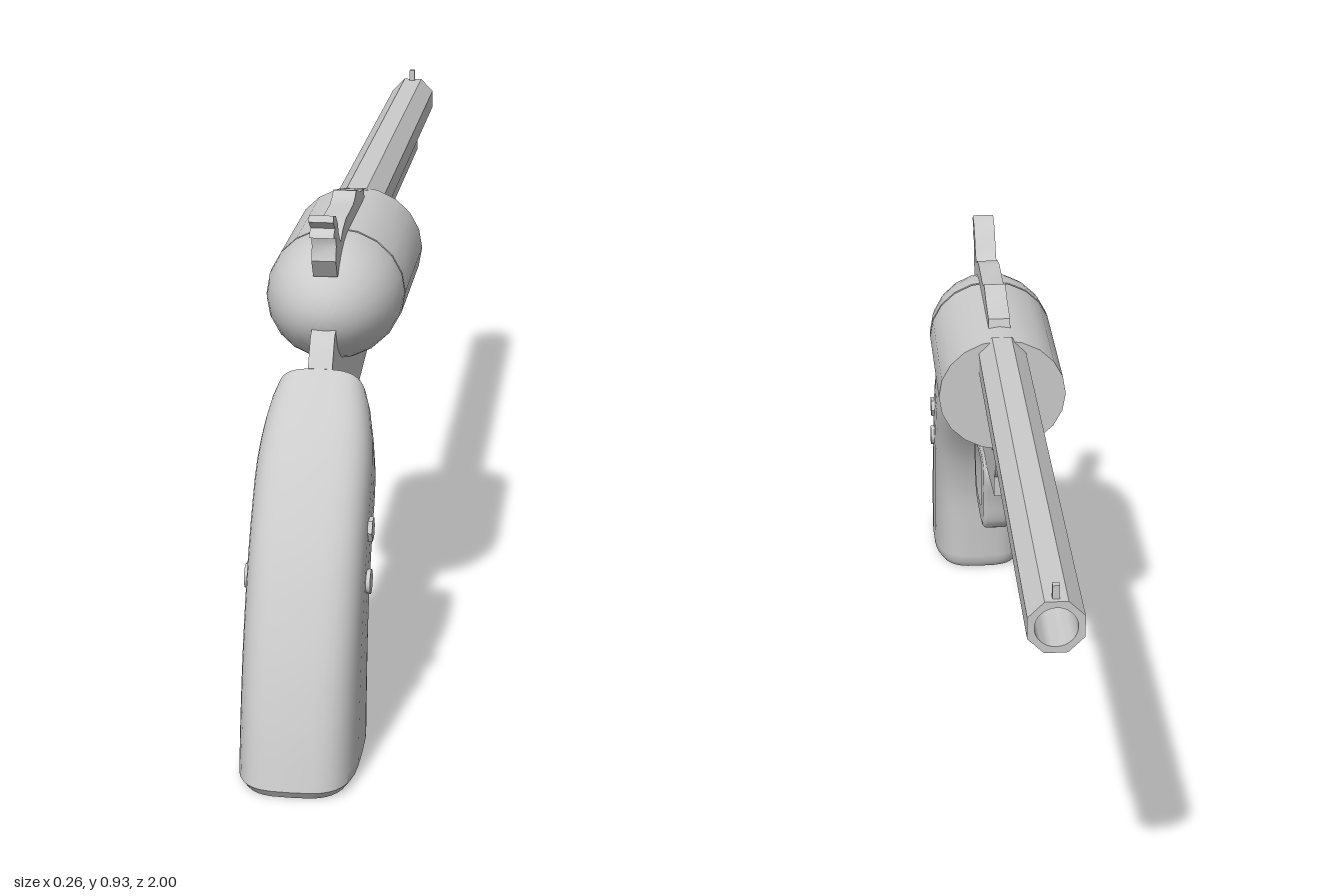
import * as THREE from 'three';
import { toCreasedNormals } from 'three/addons/utils/BufferGeometryUtils.js';

const material = new THREE.MeshStandardMaterial({ color: 0xcccccc });

function add(group, name, geometry) {
  const mesh = new THREE.Mesh(geometry, material);
  mesh.name = name;
  group.add(mesh);
  return mesh;
}

const toVectors = (pts) => pts.map(([a, b]) => new THREE.Vector2(a, b));

// Side profile in (z, y), extruded symmetrically across x
function plate(shape, width, bevel = 0) {
  const depth = width - 2 * bevel;
  const g = new THREE.ExtrudeGeometry(shape, {
    depth, curveSegments: 8, bevelEnabled: bevel > 0,
    bevelSize: bevel, bevelThickness: bevel, bevelOffset: -bevel, bevelSegments: 3,
  });
  g.translate(0, 0, -depth / 2).rotateY(-Math.PI / 2);
  return toCreasedNormals(g, 0.6);
}

// Closed smooth outline through a few points
const smoothLoop = (pts, n = 40) =>
  new THREE.SplineCurve(toVectors([...pts, pts[0]])).getPoints(n);

// Hollow eight-sided bar along z, flat side up
function octagonTube(flatRadius, bore, z0, z1, y) {
  const r = flatRadius / Math.cos(Math.PI / 8);
  const shape = new THREE.Shape();
  for (let i = 0; i < 8; i++) {
    const a = (i + 0.5) * Math.PI / 4;
    shape[i ? 'lineTo' : 'moveTo'](r * Math.cos(a), r * Math.sin(a));
  }
  shape.closePath();
  shape.holes.push(new THREE.Path().absarc(0, 0, bore, 0, Math.PI * 2, true));
  const g = new THREE.ExtrudeGeometry(shape, { depth: z1 - z0, bevelEnabled: false, curveSegments: 16 });
  return toCreasedNormals(g.translate(0, y, z0), 0.5);
}

// Grip: rounded cross-sections swept between a back and a front curve
function gripGeometry() {
  const curve = (pts) => new THREE.SplineCurve(toVectors(pts));
  const back = curve([[0.605, 0.65], [0.73, 0.54], [0.84, 0.40], [0.92, 0.25], [0.97, 0.12], [1, 0.015]]);
  const front = curve([[0.53, 0.47], [0.585, 0.40], [0.635, 0.31], [0.663, 0.21], [0.671, 0.11], [0.675, 0.015]]);
  const rings = [];
  const steps = 20, sides = 40;
  for (let i = 0; i <= steps; i++) {
    const t = i / steps;
    const width = 0.105 - 0.023 * Math.pow(Math.max(0, 1 - t / 0.25), 2);
    rings.push([back.getPoint(t), front.getPoint(t), width]);
  }
  rings.push([new THREE.Vector2(0.99, 0), new THREE.Vector2(0.685, 0), 0.095]);

  const pos = [], index = [];
  const power = (v) => Math.sign(v) * Math.pow(Math.abs(v), 2 / 3.4);
  for (const [b, f, w] of rings) {
    for (let j = 0; j < sides; j++) {
      const a = j / sides * Math.PI * 2;
      const k = power(Math.cos(a)) / 2;
      pos.push(w * power(Math.sin(a)), (b.y + f.y) / 2 + (b.y - f.y) * k, (b.x + f.x) / 2 + (b.x - f.x) * k);
    }
  }
  const last = rings.length - 1;
  for (const [b, f] of [rings[0], rings[last]]) pos.push(0, (b.y + f.y) / 2, (b.x + f.x) / 2);
  const topCentre = rings.length * sides;
  for (let j = 0; j < sides; j++) {
    const n = (j + 1) % sides;
    for (let i = 0; i < last; i++) {
      const p = i * sides, q = p + sides;
      index.push(p + j, q + j, p + n, p + n, q + j, q + n);
    }
    index.push(topCentre, j, n, topCentre + 1, last * sides + n, last * sides + j);
  }
  const g = new THREE.BufferGeometry();
  g.setAttribute('position', new THREE.Float32BufferAttribute(pos, 3));
  g.setIndex(index);
  return toCreasedNormals(g, 0.7);
}

// Disc whose axis runs across x
function pin(radius, length, x, y, z) {
  const g = new THREE.CylinderGeometry(radius, radius, length, 16).rotateZ(Math.PI / 2);
  return toCreasedNormals(g.translate(x, y, z), 0.6);
}

export function createModel() {
  const group = new THREE.Group();
  group.name = 'revolver';

  // Barrel, rod beneath it and front sight
  add(group, 'barrel', octagonTube(0.0475, 0.036, -1, 0.08, 0.803));
  add(group, 'ejectorRod', octagonTube(0.028, 0.02, -0.84, 0.08, 0.729));
  add(group, 'frontSight', new THREE.BoxGeometry(0.012, 0.03, 0.012).translate(0, 0.86, -0.985));

  // Drum with a groove and a domed rear shield
  const profile = [[0, 0.063], [0.125, 0.063], [0.125, 0.376], [0.12, 0.376], [0.12, 0.382]];
  for (let i = 0; i <= 10; i++) {
    const a = i / 10 * Math.PI / 2;
    profile.push([i === 10 ? 0 : 0.125 * Math.cos(a), 0.382 + 0.178 * Math.sin(a)]);
  }
  const drum = new THREE.LatheGeometry(toVectors(profile), 20);
  drum.rotateX(Math.PI / 2).scale(1.03, 0.96, 1).translate(0, 0.73, 0);
  add(group, 'drum', toCreasedNormals(drum, 0.5));

  // Frame plate with the notch in front of the drum and the lug under the rod
  add(group, 'frame', plate(new THREE.Shape(toVectors([
    [0.605, 0.65], [0.57, 0.70], [0.5, 0.73], [0.1, 0.70], [0.07, 0.612], [0.05, 0.614],
    [0.037, 0.625], [0.032, 0.645], [0.037, 0.67], [0.05, 0.683], [0.08, 0.69], [0.08, 0.73],
    [-0.2, 0.73], [-0.23, 0.705], [-0.215, 0.69], [-0.19, 0.68], [-0.14, 0.685], [-0.06, 0.683],
    [-0.038, 0.67], [-0.03, 0.645], [-0.027, 0.61], [-0.018, 0.592], [0, 0.578], [0, 0.535],
    [0.45, 0.458], [0.5, 0.46], [0.53, 0.47],
  ])), 0.044));
  add(group, 'frameScrewLarge', pin(0.021, 0.054, 0, 0.598, 0.525));
  add(group, 'frameScrewSmall', pin(0.013, 0.054, 0, 0.517, 0.447));

  // Top strap and hammer
  add(group, 'topStrap', plate(new THREE.Shape(toVectors([
    [0.5, 0.83], [0.49, 0.85], [0.455, 0.868], [0.41, 0.877], [0.31, 0.876], [0.28, 0.882],
    [0.26, 0.892], [0.24, 0.888], [0.21, 0.877], [0.14, 0.865], [0.13, 0.83],
  ])), 0.044));
  add(group, 'hammer', plate(new THREE.Shape(toVectors([
    [0.53, 0.80], [0.553, 0.835], [0.545, 0.86], [0.55, 0.878], [0.578, 0.884], [0.572, 0.893],
    [0.56, 0.898], [0.585, 0.915], [0.578, 0.926], [0.55, 0.918], [0.525, 0.9], [0.51, 0.875],
    [0.49, 0.857], [0.46, 0.84], [0.46, 0.80],
  ])), 0.044));

  // Trigger guard and trigger
  const guard = new THREE.Shape(smoothLoop([
    [0.525, 0.475], [0.495, 0.39], [0.475, 0.335], [0.44, 0.311], [0.37, 0.31], [0.29, 0.318],
    [0.24, 0.34], [0.222, 0.40], [0.215, 0.5], [0.36, 0.49],
  ], 60));
  guard.holes.push(new THREE.Path(smoothLoop([
    [0.474, 0.465], [0.462, 0.405], [0.445, 0.36], [0.41, 0.34], [0.35, 0.342],
    [0.295, 0.352], [0.275, 0.395], [0.279, 0.475], [0.37, 0.472],
  ], 50)));
  add(group, 'triggerGuard', plate(guard, 0.056, 0.01));
  add(group, 'trigger', plate(new THREE.Shape(toVectors([
    [0.42, 0.49], [0.408, 0.44], [0.39, 0.405], [0.365, 0.378], [0.363, 0.388],
    [0.372, 0.42], [0.375, 0.49],
  ])), 0.03));

  // Grip and its fasteners
  add(group, 'grip', gripGeometry());
  add(group, 'gripScrewLeft', pin(0.022, 0.02, 0.102, 0.313, 0.765));
  add(group, 'gripScrewRight', pin(0.022, 0.02, -0.102, 0.313, 0.765));
  const nut = new THREE.CylinderGeometry(0.022, 0.022, 0.02, 6).rotateZ(Math.PI / 2);
  add(group, 'gripNut', toCreasedNormals(nut.translate(0.102, 0.4, 0.735), 0.5));

  return group;
}
